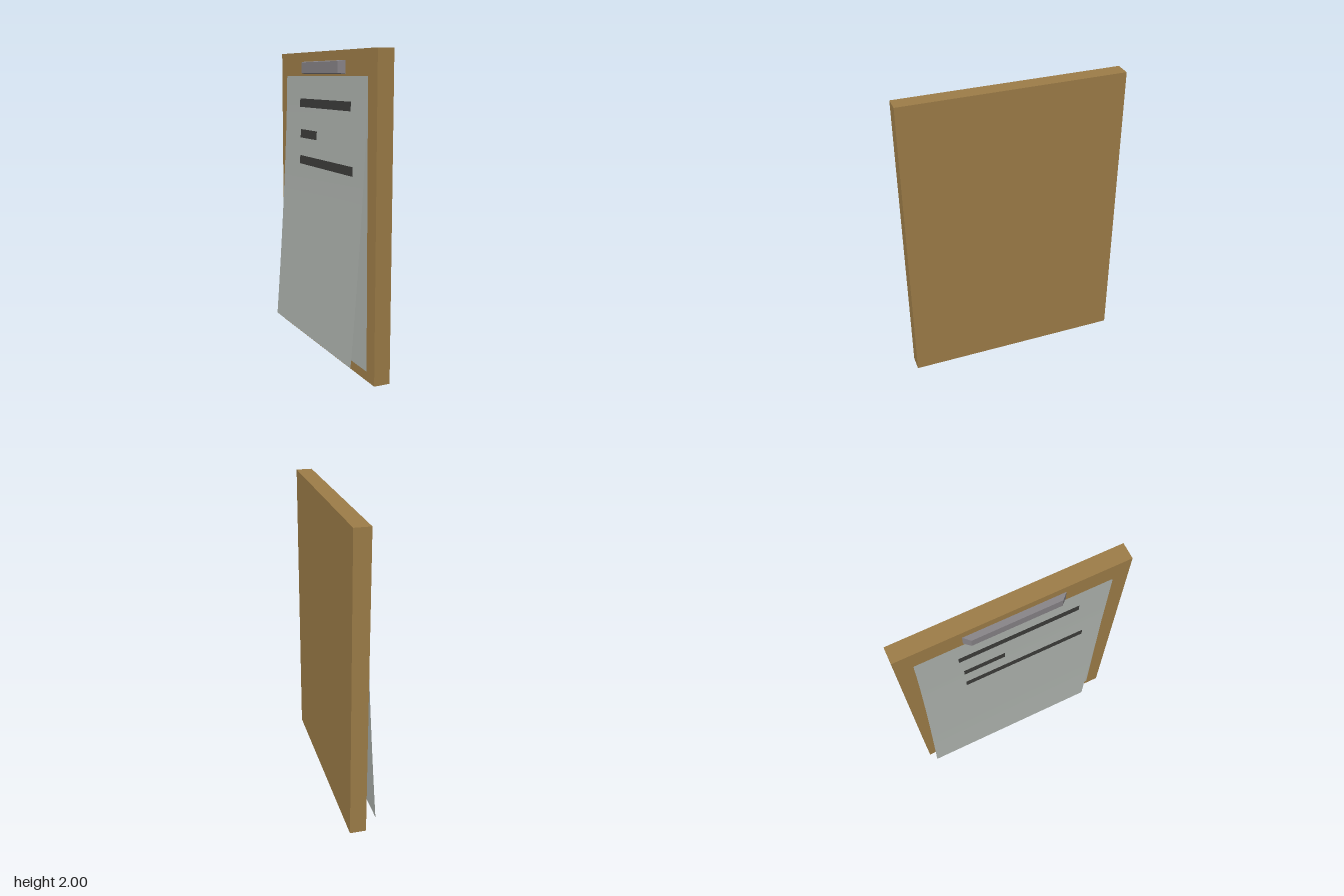
import * as THREE from 'three';

const FACE = -0.018; // x of the board face that holds the paper

const material = (name, color, side = THREE.FrontSide) => {
  const m = new THREE.MeshStandardMaterial({ color, side });
  m.name = name;
  return m;
};

// Sheet or strip on the -x face, lifting and drifting toward its lower edge
function sheet(z0, z1, yTop, yBottom, rows, place) {
  const g = new THREE.PlaneGeometry(1, 1, 1, rows);
  const p = g.attributes.position;
  for (let i = 0; i < p.count; i++) {
    const y = THREE.MathUtils.lerp(yBottom, yTop, p.getY(i) + 0.5);
    const z = THREE.MathUtils.lerp(z0, z1, p.getX(i) + 0.5);
    p.setXYZ(i, ...place(y, z));
  }
  g.computeVertexNormals();
  return g;
}

export function createModel() {
  const model = new THREE.Group();
  const wood = material('wood', 0x9c7c47);
  const paper = material('paper', 0xabb0ab, THREE.DoubleSide);
  const metal = material('metal', 0x858185);
  const ink = material('ink', 0x3b3b39, THREE.DoubleSide);

  const add = (name, geometry, mat) => {
    const mesh = new THREE.Mesh(geometry, mat);
    mesh.name = name;
    model.add(mesh);
    return mesh;
  };

  // Backing board
  add('board', new THREE.BoxGeometry(0.106, 2, 1.45), wood).position.set(0.035, 1, 0);

  // Flat rear sheet, slightly askew
  const top = 1.842, bottom = 0.065;
  add('rearSheet', sheet(-0.615, 0.615, top, bottom - 0.005, 1,
    (y, z) => [FACE - 0.002, y, z + 0.015 * (top - y) / top]), paper);

  // Front sheet curling away from the board
  const lift = (y) => Math.pow(Math.max(0, (top - y) / (top - bottom)), 1.4);
  add('frontSheet', sheet(-0.62, 0.62, top, bottom, 10,
    (y, z) => [FACE - 0.004 - 0.068 * lift(y), y, z - 0.07 * lift(y)]), paper);

  // Ruled text bars following the front sheet
  const bars = [[-0.365, 0.415, 1.69], [-0.345, -0.075, 1.48], [-0.345, 0.465, 1.3]];
  for (const [z0, z1, y] of bars) {
    add('textBar', sheet(z0, z1, y, y - 0.058, 1,
      (yy, z) => [FACE - 0.009 - 0.068 * lift(yy), yy, z]), ink);
  }

  // Clip: a box tapering outward from the board
  const clip = new THREE.BoxGeometry(0.037, 0.084, 0.64);
  const p = clip.attributes.position;
  for (let i = 0; i < p.count; i++) {
    if (p.getX(i) < 0) {
      p.setY(i, p.getY(i) * 0.85);
      p.setZ(i, p.getZ(i) * 0.875);
    }
  }
  const flat = clip.toNonIndexed();
  flat.computeVertexNormals();
  add('clip', flat, metal).position.set(FACE - 0.0175, 1.897, 0);

  return model;
}
